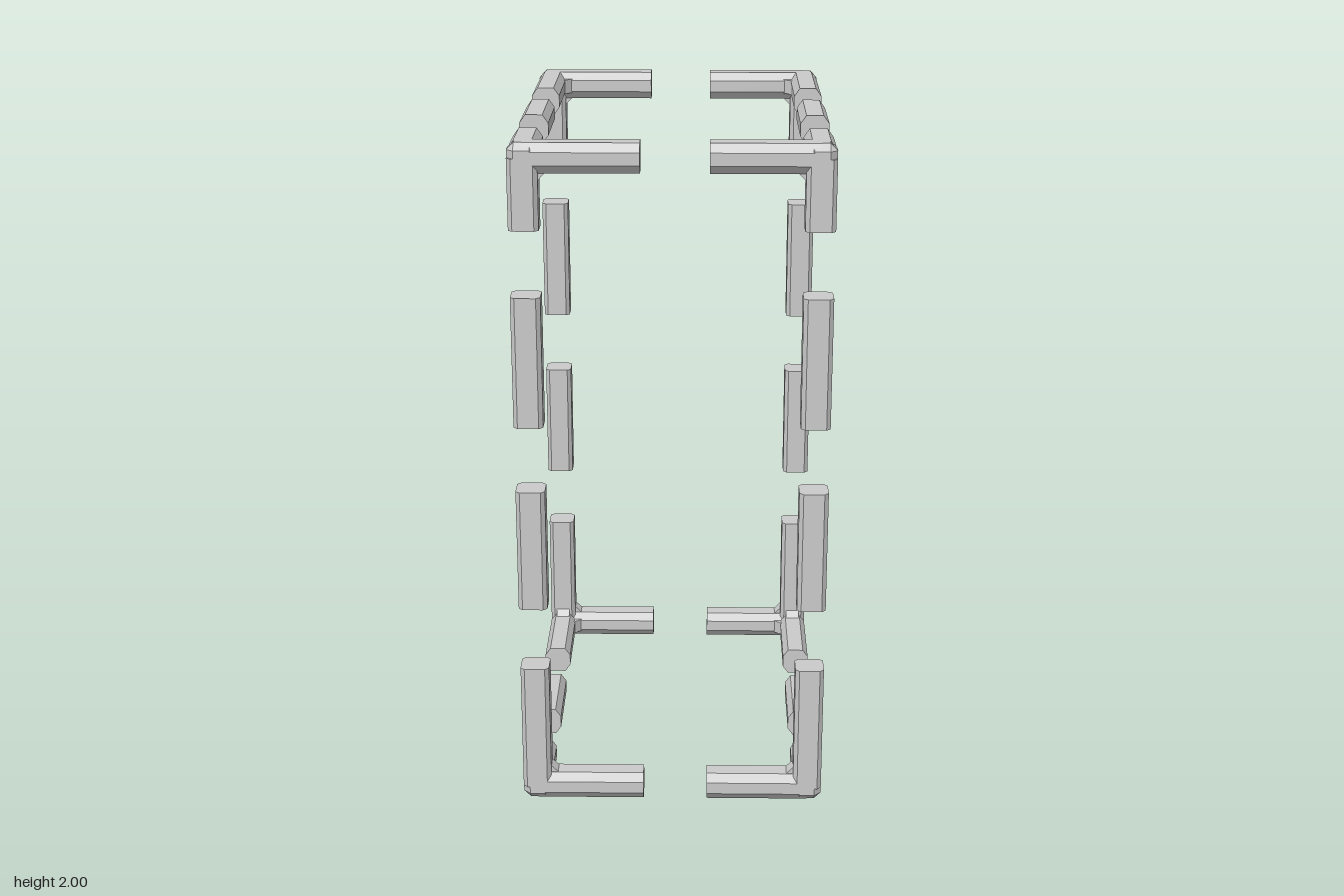
import * as THREE from 'three';
import { ConvexGeometry } from 'three/addons/geometries/ConvexGeometry.js';

const H = 0.042;                                   // half thickness of a bar
const X = 0.405, Z = 0.566, Y0 = 0.043, Y1 = 1.957; // bar centre lines

// Square with its four corners cut: a across, b up
function section(a, b) {
  return new THREE.Shape([
    [H, -H + b], [H, H - b], [H - a, H], [-H + a, H],
    [-H, H - b], [-H, -H + b], [-H + a, -H], [H - a, -H],
  ].map(([x, y]) => new THREE.Vector2(x, y)));
}

// Straight eight-sided bar along one axis, running from s to e
function bar(axis, s, e) {
  const shape = axis === 'y' ? section(0.012, 0.012) : section(0.017, 0.024);
  const geo = new THREE.ExtrudeGeometry(shape, { depth: e - s, bevelEnabled: false });
  geo.translate(0, 0, s);
  if (axis === 'x') geo.rotateY(Math.PI / 2);
  if (axis === 'y') geo.rotateX(-Math.PI / 2);
  return geo;
}

// Cube with cut edges, filling the outside of a corner joint
function cornerBlock() {
  const pts = [], t = H - 0.02;
  for (const sx of [-1, 1]) for (const sy of [-1, 1]) for (const sz of [-1, 1]) {
    pts.push(new THREE.Vector3(sx * H, sy * t, sz * t));
    pts.push(new THREE.Vector3(sx * t, sy * H, sz * t));
    pts.push(new THREE.Vector3(sx * t, sy * t, sz * H));
  }
  return new ConvexGeometry(pts);
}

// Small wedge in the inner angle between bars along axes i and j
function gusset(i, j, dir) {
  const k = 3 - i - j, near = H - 0.01, far = H + 0.03, pts = [];
  for (const w of [-0.022, 0.022])
    for (const [u, v] of [[near, near], [near, far], [far, near]]) {
      const p = [0, 0, 0];
      p[i] = u * dir[i];
      p[j] = v * dir[j];
      p[k] = w;
      pts.push(new THREE.Vector3(...p));
    }
  return new ConvexGeometry(pts);
}

export function createModel() {
  const model = new THREE.Group();
  model.name = 'dashedBoxFrame';
  const grey = new THREE.MeshStandardMaterial({ color: 0xcccccc });
  grey.name = 'lightGrey';

  const add = (parent, name, geo, x, y, z) => {
    const mesh = new THREE.Mesh(geo, grey);
    mesh.name = name;
    mesh.position.set(x, y, z);
    parent.add(mesh);
  };

  for (const x of [-X, X]) {
    for (const z of [-Z, Z]) {
      // Floating upright dashes
      add(model, 'lowerUprightDash', bar('y', 0.627, 0.993), x, 0, z);
      add(model, 'upperUprightDash', bar('y', 1.187, 1.568), x, 0, z);

      // Three-armed corners
      for (const y of [Y0, Y1]) {
        const corner = new THREE.Group();
        corner.name = y === Y0 ? 'bottomCorner' : 'topCorner';
        const dir = [-Math.sign(x), y === Y0 ? 1 : -1, -Math.sign(z)];
        add(corner, 'joint', cornerBlock(), x, y, z);
        add(corner, 'sideArm', x < 0 ? bar('x', x, -0.086) : bar('x', 0.103, x), 0, y, z);
        add(corner, 'depthArm', z < 0 ? bar('z', z, -0.248) : bar('z', 0.386, z), x, y, 0);
        add(corner, 'uprightArm', y === Y0 ? bar('y', y, 0.435) : bar('y', 1.757, y), x, 0, z);
        for (const [i, j] of [[0, 1], [0, 2], [1, 2]])
          add(corner, 'gusset', gusset(i, j, dir), x, y, z);
        model.add(corner);
      }
    }
    // Floating dashes along the sides
    for (const y of [Y0, Y1])
      add(model, 'sideDash', bar('z', -0.058, 0.194), x, y, 0);
  }
  return model;
}
